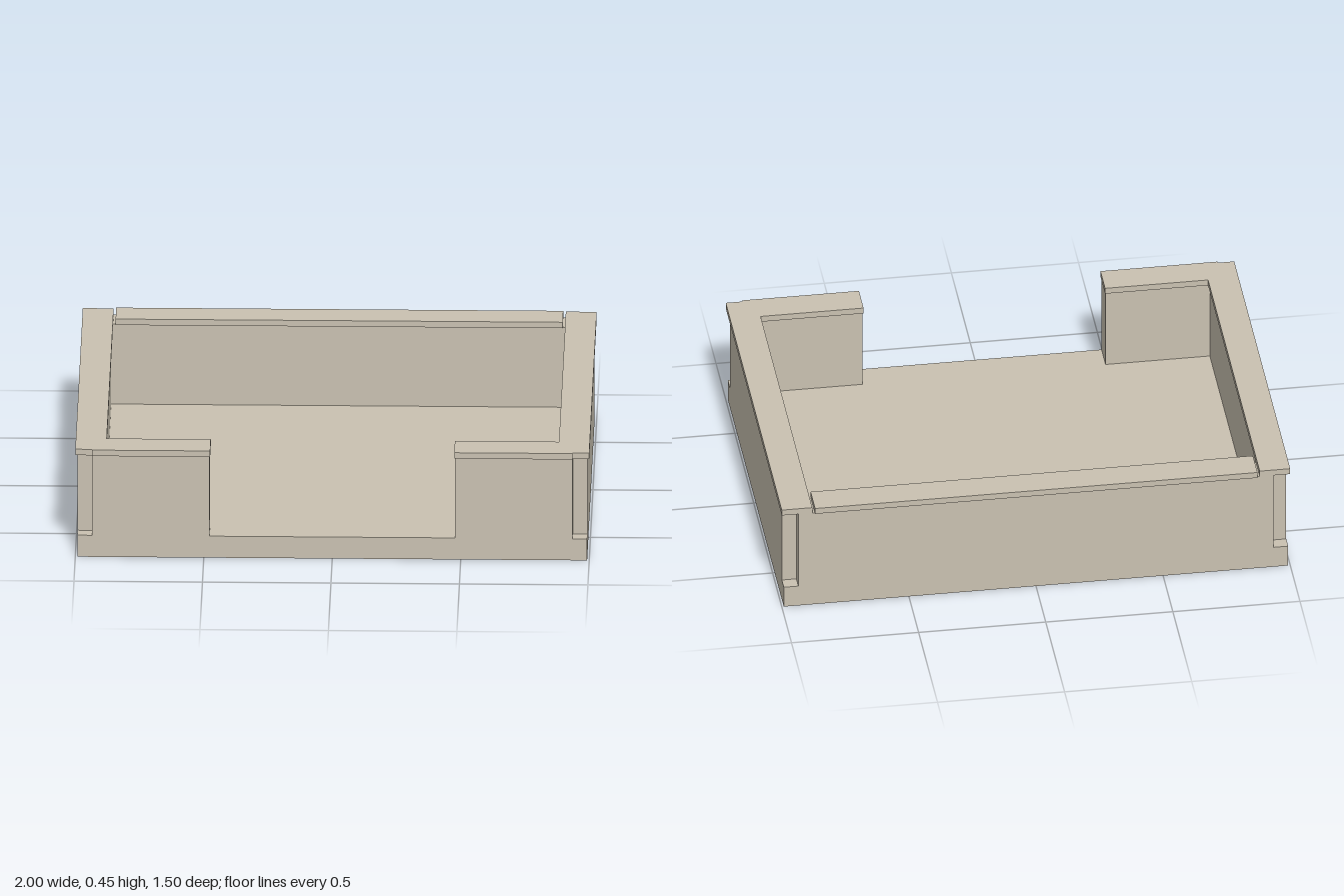
import * as THREE from 'three';

const stone = new THREE.MeshStandardMaterial({ color: 0xc9c1b1 });
stone.name = 'warm stone';

const BASE = 0.09, WALL_TOP = 0.425, TOP = 0.45;

// Box given by its limits on each axis
function block(name, [x0, x1], [y0, y1], [z0, z1]) {
  const mesh = new THREE.Mesh(new THREE.BoxGeometry(x1 - x0, y1 - y0, z1 - z0), stone);
  mesh.position.set((x0 + x1) / 2, (y0 + y1) / 2, (z0 + z1) / 2);
  mesh.name = name;
  return mesh;
}

// Limits on x for one side: 1 is left, -1 is right
const mirror = (side, a, b) => (side > 0 ? [a, b] : [-b, -a]);

// L-shaped coping over one side wall and its front return
function coping(side) {
  const points = [
    [0.88, -0.742], [1, -0.742], [1, 0.742], [0.935, 0.742],
    [0.935, 0.75], [0.475, 0.75], [0.475, 0.627], [0.88, 0.627],
  ].map(([x, z]) => new THREE.Vector2(x * side, -z));
  const geometry = new THREE.ExtrudeGeometry(new THREE.Shape(points), {
    depth: TOP - WALL_TOP, bevelEnabled: false,
  });
  geometry.rotateX(-Math.PI / 2);
  geometry.translate(0, WALL_TOP, 0);
  const mesh = new THREE.Mesh(geometry, stone);
  mesh.name = 'sideCoping';
  return mesh;
}

export function createModel() {
  const model = new THREE.Group();
  model.name = 'walledPlatform';

  // Floor slab and back wall with its separate coping
  model.add(
    block('floorSlab', [-0.992, 0.992], [0, BASE], [-0.742, 0.742]),
    block('backWall', [-0.935, 0.935], [BASE, WALL_TOP], [-0.742, -0.64]),
    block('backCoping', [-0.87, 0.87], [WALL_TOP, TOP], [-0.75, -0.63]),
  );

  // Side walls and front returns, leaving a square notch at each outer corner
  for (const side of [1, -1]) {
    model.add(
      block('sideWall', mirror(side, 0.888, 0.992), [BASE, WALL_TOP], [-0.69, 0.69]),
      block('frontWall', mirror(side, 0.478, 0.935), [BASE, WALL_TOP], [0.635, 0.742]),
      coping(side),
    );
  }
  return model;
}
